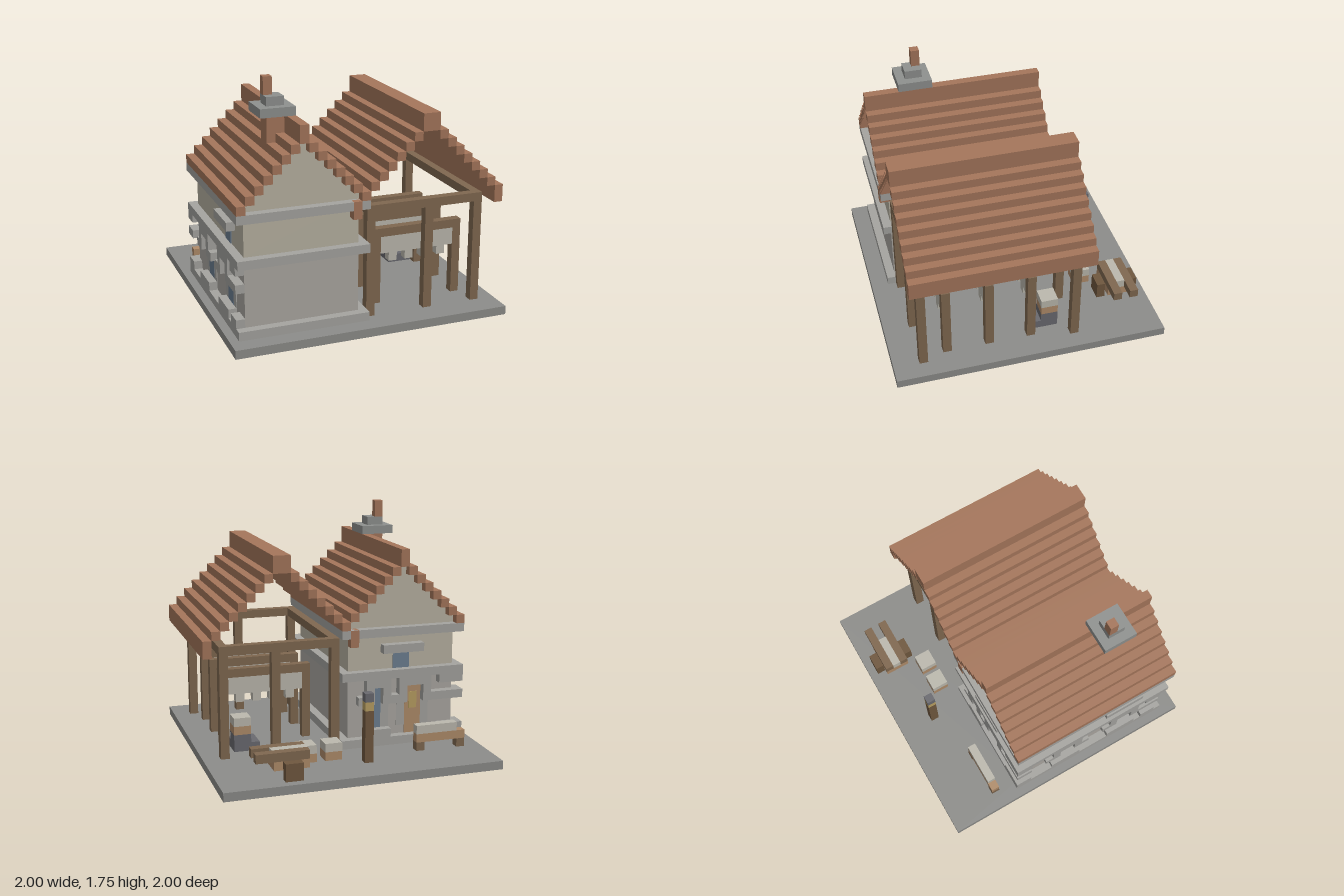
import * as THREE from 'three';

const U = 1 / 16; // one block of the grid
const mat = (color, side = THREE.FrontSide) =>
  new THREE.MeshStandardMaterial({ color, side, flatShading: true });

export function createModel() {
  const root = new THREE.Group();
  root.name = 'blockCottage';
  const M = {
    ground: mat(0x8d8d8a, THREE.DoubleSide), plaster: mat(0xb8b2a2, THREE.DoubleSide),
    lower: mat(0xaca8a2, THREE.DoubleSide), stone: mat(0xa5a4a0), cap: mat(0x8f918f),
    roof: mat(0xa5765b), wood: mat(0x806850), darkWood: mat(0x70583f), tan: mat(0xb08c6a),
    pale: mat(0xbcb9ae), iron: mat(0x6a6a70), glass: mat(0x6d7f92), lamp: mat(0xb89f62),
  };

  const group = (name, parent = root) => {
    const g = new THREE.Group();
    g.name = name;
    parent.add(g);
    return g;
  };
  const add = (parent, name, geo, material) => {
    const m = new THREE.Mesh(geo, material);
    m.name = name;
    parent.add(m);
    return m;
  };
  // Box from block limits; tube leaves out the top and the bottom
  const box = (parent, name, material, x0, x1, y0, y1, z0, z1, tube = false) => {
    const geo = new THREE.BoxGeometry((x1 - x0) * U, (y1 - y0) * U, (z1 - z0) * U);
    if (tube) geo.setIndex(Array.from(geo.index.array).filter((_, i) => i < 12 || i >= 24));
    geo.translate((x0 + x1) / 2 * U, (y0 + y1) / 2 * U, (z0 + z1) / 2 * U);
    return add(parent, name, geo, material);
  };
  const outline = (pts, Type = THREE.Shape) => new Type(pts.map(([x, y]) => new THREE.Vector2(x * U, y * U)));
  const rect = (x0, x1, z0, z1, Type) => outline([[x0, -z1], [x1, -z1], [x1, -z0], [x0, -z0]], Type);

  // Ground slab, open below, with the house footprint left out
  const ground = group('ground');
  box(ground, 'slabSides', M.ground, -16, 16, 0, 1, -16, 16, true);
  const top = rect(-16, 16, -16, 16);
  top.holes.push(rect(-14, -1, -6, 13, THREE.Path));
  add(ground, 'slabTop', new THREE.ShapeGeometry(top).rotateX(-Math.PI / 2).translate(0, U, 0), M.ground);

  // House walls and stepped gables
  const house = group('house');
  box(house, 'lowerWalls', M.lower, -14, -1, 1, 10, -6, 13, true);
  box(house, 'upperWalls', M.plaster, -14, -1, 10, 15, -6, 13, true);
  const steps = [[-14, 15]];
  for (let x = -14; x < -1; x++) {
    const h = 22 - Math.abs(x + 8);
    steps.push([x, h], [x + 1, h]);
  }
  steps.push([-1, 15]);
  const gable = new THREE.ShapeGeometry(outline(steps));
  for (const z of [13, -6]) add(house, 'gable', gable, M.plaster).position.z = z * U;

  // Stone bands round the walls
  for (const y of [1, 9, 14]) {
    const band = rect(-15, 0, -7, 14);
    band.holes.push(rect(-14, -1, -6, 13, THREE.Path));
    const geo = new THREE.ExtrudeGeometry(band, { depth: U, bevelEnabled: false });
    add(house, 'stoneBand', geo.rotateX(-Math.PI / 2).translate(0, y * U, 0), M.stone);
  }

  // Openings on the back and left-hand outer walls; a..b runs along the wall
  const onWall = (wall, name, material, a, b, y0, y1, d) => wall === 'back'
    ? box(house, name, material, a, b, y0, y1, -6 - d, -6)
    : box(house, name, material, -14 - d, -14, y0, y1, a, b);
  const opening = (wall, a, b, door) => {
    onWall(wall, door ? 'door' : 'window', door ? M.tan : M.glass, a, b, door ? 2 : 3, 8, 0.1);
    onWall(wall, 'lintel', M.stone, a - 1, b + 1, 8, 9, 1);
    for (const [s, e] of [[a, -1], [b, 1]]) {
      const span = (n) => [Math.min(s, s + n * e), Math.max(s, s + n * e)];
      onWall(wall, 'jambStone', M.stone, ...span(1), 7, 8, 1);
      onWall(wall, 'jambStone', M.stone, ...span(2), 6, 7, 1);
      onWall(wall, 'flushStone', M.stone, ...span(1), 3, 6, 0.08);
    }
    if (door) onWall(wall, 'doorPane', M.lamp, a + 0.5, b - 0.5, 5, 7, 0.15);
    else onWall(wall, 'sill', M.stone, a - 1, b + 1, 2, 3, 1);
  };
  opening('back', -5, -4, false);
  opening('back', -10, -8, true);
  opening('left', -1, 1, false);
  opening('left', 7, 9, false);
  for (const [wall, a, b] of [['back', -9, -6], ['left', 6, 9]]) {
    onWall(wall, 'upperWindow', M.glass, a + 0.5, b - 0.5, 10, 12, 0.1);
    onWall(wall, 'upperLintel', M.stone, a - 1, b + 1, 12, 13, 1);
  }
  // Corner stones
  for (const y of [2, 6, 8]) {
    box(house, 'cornerStone', M.stone, -15, -12, y, y + 1, -7, -5);
    box(house, 'cornerStone', M.stone, -15, -14, y, y + 1, 11, 13);
  }

  // Stepped roofs: one long strip per step
  const strip = (g, x0, x1, y0, y1) => box(g, 'roofStrip', M.roof, x0, x1, y0, y1, -7.02, 14.02);
  const houseRoof = group('houseRoof');
  const canopyRoof = group('canopyRoof');
  for (let i = 1; i <= 7; i++) {
    strip(houseRoof, -8 - i, -7 - i, 22 - i, 23 - i);
    strip(houseRoof, -8 + i, -7 + i, 22 - i, 23 - i);
    if (i < 7) strip(canopyRoof, 6 - i, 7 - i, 22 - i, 23 - i);
    strip(canopyRoof, 7 + i, 8 + i, 22 - i, 23 - i);
  }
  strip(houseRoof, -8, -7, 22, 24);
  strip(canopyRoof, 6, 8, 22, 24);
  for (const x of [-2, 15]) strip(canopyRoof, x, x + 1, 13, 15);

  // Chimney
  const chimney = group('chimney');
  box(chimney, 'stack', M.roof, -10, -8, 19, 24, 7, 9);
  box(chimney, 'cap', M.cap, -11, -7, 24, 25, 6, 10);
  box(chimney, 'capStep', M.cap, -10, -8, 25, 26, 7, 9);
  box(chimney, 'flue', M.roof, -10, -9, 26, 28, 7, 8);

  // Canopy frame
  const frame = group('canopyFrame');
  for (const z of [-6, 12]) {
    for (const x of [0, 7, 13]) box(frame, 'post', M.wood, x, x + 1, 1, 13, z, z + 1);
    box(frame, 'crossBeam', M.wood, 0, 14, 13, 14, z, z + 1);
  }
  for (const x of [0, 13]) box(frame, 'sideBeam', M.wood, x, x + 1, 13, 14, -5, 12);

  // Inner racks with hanging cloth
  for (const z of [-1, 4, 9]) {
    const rack = group('clothRack');
    for (const x of [2, 12]) box(rack, 'rackPost', M.wood, x, x + 1, 1, 9, z, z + 1);
    box(rack, 'rackBeam', M.wood, 2, 13, 9, 10, z, z + 1);
    box(rack, 'cloth', M.pale, 3, 12, 7, 9, z, z + 1);
    for (const x of [4, 6, 8, 10]) box(rack, 'clothTab', M.pale, x, x + 1, 6, 7, z, z + 1);
  }

  // Forge block
  const forge = group('forge');
  box(forge, 'forgeFoot', M.iron, 9, 12, 1, 2, -4, -1);
  box(forge, 'forgeBody', M.iron, 10, 12, 2, 3, -4, -2);
  box(forge, 'forgeShelf', M.tan, 10, 12, 3, 4, -4, -2);
  box(forge, 'forgeTop', M.pale, 10, 12, 4, 5, -4, -2);

  // Hand cart
  const cart = group('handCart');
  box(cart, 'cartBed', M.tan, 6, 10, 2, 3, -14, -11);
  box(cart, 'cartLoad', M.pale, 6, 10, 3, 4, -13, -12);
  for (const z of [-14, -12]) box(cart, 'cartSide', M.wood, 6, 12, 3, 4, z, z + 1);
  for (const z of [-15, -11]) box(cart, 'cartWheel', M.darkWood, 7, 9, 1, 3, z, z + 1);

  // Crates
  for (const x of [1, 4]) {
    const crate = group('crate');
    box(crate, 'crateBase', M.tan, x, x + 2, 1, 2, -10, -8);
    box(crate, 'crateLid', M.pale, x, x + 2, 2, 3, -10, -8);
  }

  // Lamp post
  const lamp = group('lampPost');
  box(lamp, 'lampPole', M.darkWood, -2, -1, 1, 7, -12, -11);
  box(lamp, 'lampLight', M.lamp, -2, -1, 7, 8, -12, -11);
  box(lamp, 'lampCap', M.iron, -2, -1, 8, 9, -12, -11);

  // Bench
  const bench = group('bench');
  box(bench, 'benchSeat', M.tan, -14, -8, 2, 3, -10, -9);
  box(bench, 'benchCover', M.pale, -13, -8, 3, 4, -10, -9);
  for (const x of [-14, -9]) box(bench, 'benchLeg', M.wood, x, x + 1, 1, 2, -10, -9);

  return root;
}
